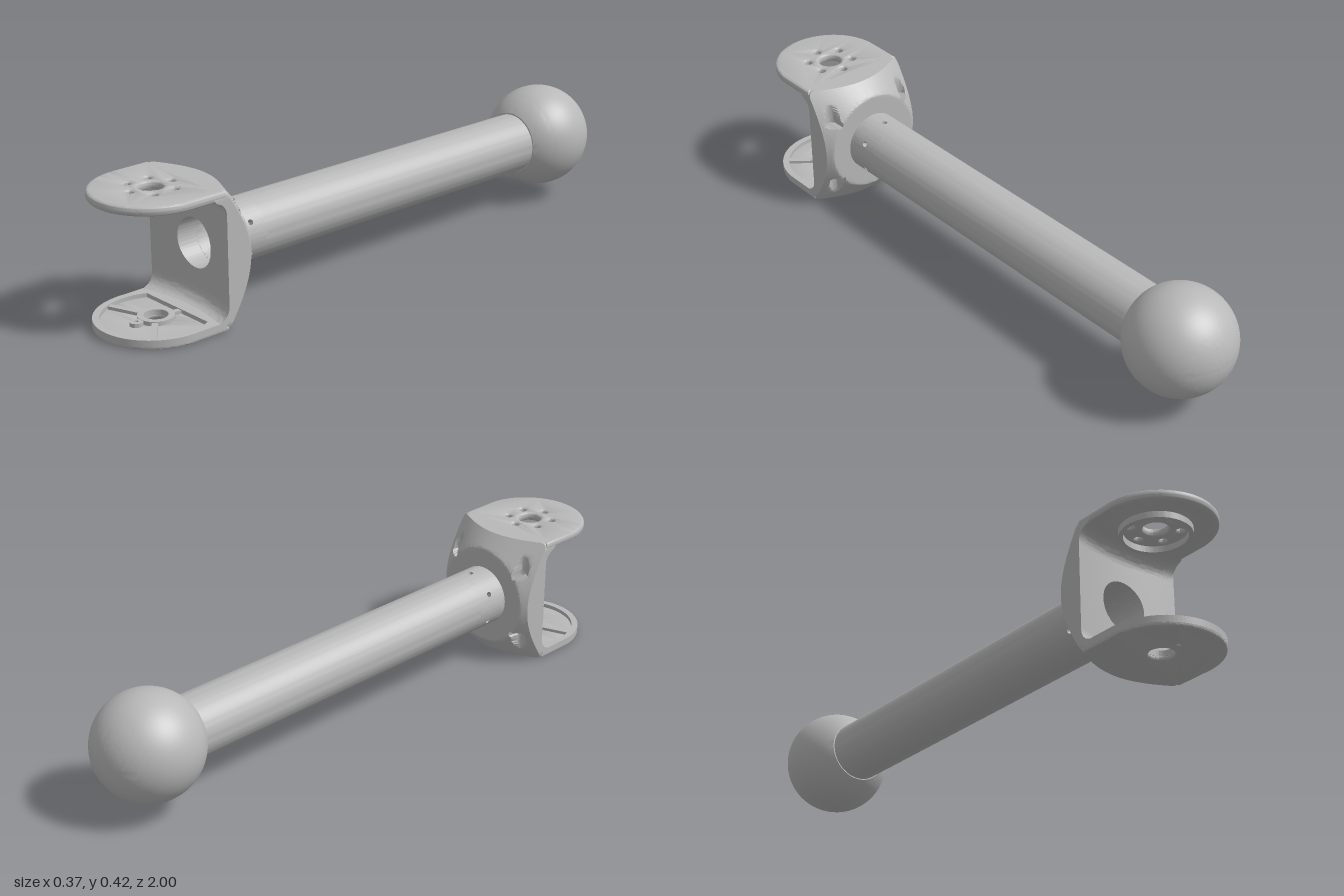
import * as THREE from 'three';
import { toCreasedNormals } from 'three/addons/utils/BufferGeometryUtils.js';

const W = 0.183, H = 0.212, AXIS_Y = 0.213, PIVOT_Z = 0.815;
const TUBE_R = 0.098, BORE_R = 0.078;

// Skin through closed loops that all have the same number of points
function loft(loops) {
  const n = loops[0].length, pos = [], idx = [];
  loops.forEach(l => l.forEach(p => pos.push(p.x, p.y, p.z)));
  for (let i = 0; i < loops.length - 1; i++) for (let j = 0; j < n; j++) {
    const a = i * n + j, b = i * n + (j + 1) % n, c = a + n, d = b + n;
    idx.push(a, b, c, b, d, c);
  }
  const g = new THREE.BufferGeometry();
  g.setAttribute('position', new THREE.Float32BufferAttribute(pos, 3));
  g.setIndex(idx);
  return toCreasedNormals(g, 0.6);
}

// Point of a rounded rectangle in direction a
function rectPoint(a, w, h, r) {
  const c = Math.cos(a), s = Math.sin(a);
  const k = Math.min(w / Math.max(Math.abs(c), 1e-6), h / Math.max(Math.abs(s), 1e-6));
  const p = new THREE.Vector2(c * k, s * k);
  const q = new THREE.Vector2(THREE.MathUtils.clamp(p.x, r - w, w - r), THREE.MathUtils.clamp(p.y, r - h, h - r));
  return r > 0 ? p.sub(q).setLength(r).add(q) : p;
}

// Surface of revolution along z from [radius, z] pairs
function turned(points, segments = 72) {
  const g = new THREE.LatheGeometry(points.map(p => new THREE.Vector2(p[0], p[1])), segments);
  g.rotateX(Math.PI / 2);
  return toCreasedNormals(g, 0.6);
}

const circlePath = (x, z, r) => new THREE.Path().absarc(x, z, r, 0, Math.PI * 2, false);

// Horizontal slab between two heights from a shape drawn in x and z
function slab(shape, y0, y1, bevel = 0) {
  const g = new THREE.ExtrudeGeometry(shape, {
    depth: y1 - y0 - 2 * bevel, bevelEnabled: bevel > 0, bevelThickness: bevel,
    bevelSize: bevel, bevelOffset: -bevel * 0.05, bevelSegments: 4, curveSegments: 48,
  });
  g.rotateX(Math.PI / 2);
  g.translate(0, y1 - bevel, 0);
  return toCreasedNormals(g, 0.6);
}

// Straight-sided tongue with a round front
function tongue(inset) {
  const s = new THREE.Shape();
  s.moveTo(-W + inset, 0.7);
  s.lineTo(W - inset, 0.7);
  s.absarc(0, PIVOT_Z, W - inset, 0, Math.PI, false);
  s.closePath();
  return s;
}

function disc(r, hole) {
  const s = new THREE.Shape().absarc(0, PIVOT_Z, r, 0, Math.PI * 2, false);
  s.holes.push(circlePath(0, PIVOT_Z, hole));
  return s;
}

// Fork back: conical rear with corner screw pockets, hollowed and filleted front
function forkBack() {
  const N = 240, STEPS = 26, PLATE = 0.184, FILLET = 0.045;
  const loop = f => Array.from({ length: N }, (_, j) => {
    const p = f(j / N * Math.PI * 2);
    return new THREE.Vector3(p[0], p[1] + AXIS_Y - 0.001, p[2]);
  });
  const ring = (a, t, w, h, r) =>
    new THREE.Vector2(Math.cos(a), Math.sin(a)).multiplyScalar(BORE_R).lerp(rectPoint(a, w, h, r), t);
  const rear = p => {
    let z = 0.59 + 0.9 * Math.max(0, p.length() - 0.165);
    const dx = Math.abs(p.x) - 0.145;
    if (Math.abs(dx) < 0.02 && Math.abs(p.y) > 0.1) z = Math.max(z, 0.62 + Math.sqrt(0.0004 - dx * dx));
    return z;
  };
  const front = p => {
    const d = Math.max(0, PLATE - Math.abs(p.y)), e = Math.max(0, FILLET - d);
    return 0.69 - 0.025 * (1 - (p.x / W) ** 2) + FILLET - Math.sqrt(FILLET * FILLET - e * e);
  };
  const loops = [];
  for (let i = 0; i <= STEPS; i++) loops.push(loop(a => {
    const p = ring(a, i / STEPS, W, H, 0.02);
    return [p.x, p.y, rear(p)];
  }));
  loops.push(loop(a => {
    const p = rectPoint(a, W, H, 0.02);
    return [p.x, p.y, front(p)];
  }));
  for (let i = STEPS; i >= 0; i--) loops.push(loop(a => {
    const p = ring(a, i / STEPS, W, PLATE, 0);
    return [p.x, p.y, front(p)];
  }));
  loops.push(loops[0]);
  return loft(loops);
}

// Sixth of the tube wall with a screw hole in the middle
function drilledSector(angle) {
  const half = TUBE_R * Math.PI / 6, n = 48, loops = [];
  const add = (t, radius) => loops.push(Array.from({ length: n }, (_, j) => {
    const a = j / n * Math.PI * 2;
    const p = new THREE.Vector2(Math.cos(a), Math.sin(a)).multiplyScalar(0.009).lerp(rectPoint(a, half, half, 0), t);
    const b = angle + p.x / TUBE_R;
    return new THREE.Vector3(Math.cos(b) * radius, Math.sin(b) * radius, 0.525 - p.y);
  }));
  for (let i = 6; i >= 0; i--) add(i / 6, TUBE_R);
  for (let i = 0; i <= 6; i++) add(i / 6, BORE_R);
  const g = loft(loops);
  // Turn the skin outward
  const pos = g.attributes.position, mid = new THREE.Vector3(Math.cos(angle), Math.sin(angle), 0);
  const nrm = new THREE.Vector3().fromBufferAttribute(g.attributes.normal, 0);
  if (nrm.dot(mid) < 0) {
    const f = new THREE.BufferGeometry(), out = [];
    for (let i = 0; i < pos.count; i += 3) for (const k of [i, i + 2, i + 1]) out.push(pos.getX(k), pos.getY(k), pos.getZ(k));
    f.setAttribute('position', new THREE.Float32BufferAttribute(out, 3));
    return toCreasedNormals(f, 0.6);
  }
  return g;
}

export function createModel() {
  const model = new THREE.Group();
  const grey = new THREE.MeshStandardMaterial({ color: 0xb8b8b8 });
  grey.name = 'plain grey';
  const add = (name, geometry, y = 0) => {
    const m = new THREE.Mesh(geometry, grey);
    m.name = name;
    m.position.y = y;
    model.add(m);
    return m;
  };

  add('forkBack', forkBack());

  // Upper plate with centre hole and ring of six screw holes
  const upper = tongue(0.01);
  upper.holes.push(circlePath(0, PIVOT_Z, 0.046));
  for (let i = 0; i < 6; i++) {
    const a = Math.PI / 2 + i * Math.PI / 3;
    upper.holes.push(circlePath(Math.cos(a) * 0.073, PIVOT_Z + Math.sin(a) * 0.073, 0.021));
  }
  add('upperPlate', slab(upper, 0.396, 0.424, 0.01));
  add('upperBoss', slab(disc(0.108, 0.094), 0.376, 0.398));

  // Lower plate: thin floor, raised rim, hub and spokes
  const floor = tongue(0.008);
  floor.holes.push(circlePath(0, PIVOT_Z, 0.044), circlePath(0, PIVOT_Z + 0.07, 0.012));
  add('lowerFloor', slab(floor, 0, 0.017, 0.008));
  const rim = tongue(0), pocket = new THREE.Path(), back = Math.asin(-0.075 / 0.162);
  pocket.absarc(0, PIVOT_Z, 0.162, back, Math.PI - back, false);
  pocket.closePath();
  rim.holes.push(pocket);
  add('lowerRim', slab(rim, 0.009, 0.03));
  add('lowerHub', slab(disc(0.055, 0.036), 0.012, 0.03));
  const lug = new THREE.Shape().absarc(0, PIVOT_Z + 0.07, 0.02, 0, Math.PI * 2, false);
  lug.holes.push(circlePath(0, PIVOT_Z + 0.07, 0.006));
  add('lowerLug', slab(lug, 0.012, 0.029));
  for (const deg of [-80, 160, 40]) {
    const a = deg * Math.PI / 180;
    const spoke = add('lowerSpoke', new THREE.BoxGeometry(0.115, 0.014, 0.018), 0.02);
    spoke.position.x = Math.cos(a) * 0.108;
    spoke.position.z = PIVOT_Z + Math.sin(a) * 0.108;
    spoke.rotation.y = -a;
  }

  // Hollow arm with six screw holes near the fork
  const bandEnd = TUBE_R * Math.PI / 6, z0 = 0.525 - bandEnd, z1 = 0.525 + bandEnd;
  add('armTube', turned([[BORE_R, z0], [BORE_R, -0.695], [TUBE_R, -0.695], [TUBE_R, z0]]), AXIS_Y);
  add('armCollar', turned([[TUBE_R, z1], [TUBE_R, 0.6], [BORE_R, 0.6], [BORE_R, z1]]), AXIS_Y);
  for (let i = 0; i < 6; i++) add('armScrewSector', drilledSector(Math.PI / 6 + i * Math.PI / 3), AXIS_Y);

  // Ball with a flat seat that closes the arm
  const ball = [], R = 0.17, seat = Math.asin(0.136 / R);
  for (let i = 0; i <= 40; i++) {
    const a = -Math.PI / 2 + (seat + Math.PI / 2) * i / 40;
    ball.push([Math.max(0, R * Math.cos(a)), -0.83 + R * Math.sin(a)]);
  }
  ball.push([0, -0.694]);
  add('endBall', turned(ball), AXIS_Y + 0.001);

  return model;
}
